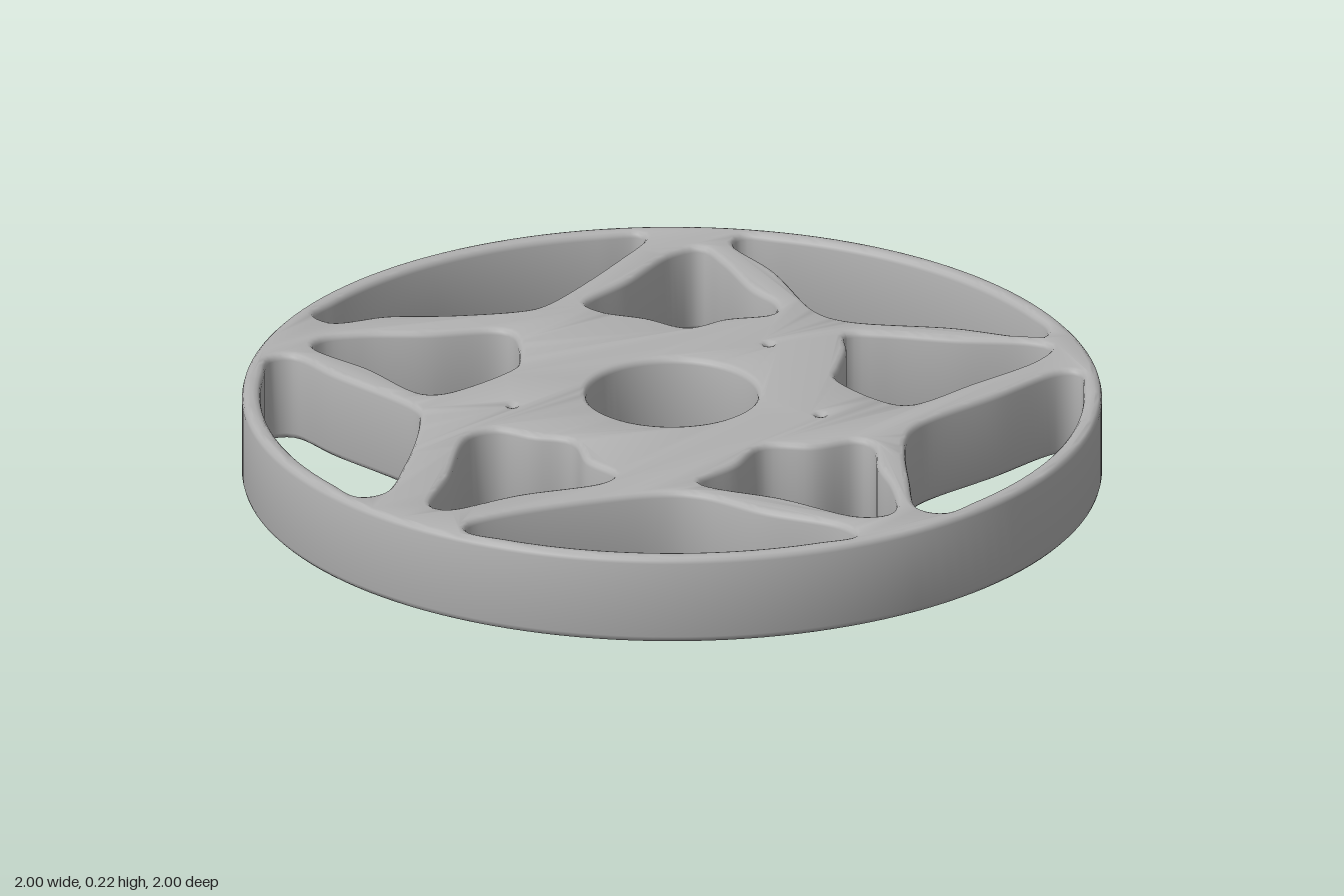
import * as THREE from 'three';
import { toCreasedNormals } from 'three/addons/utils/BufferGeometryUtils.js';

const HEIGHT = 0.215, BEVEL = 0.016, RIM_INNER = 0.957;

// Triangular windows inside each forked spoke, as [x, z]
const spokeWindows = [
  [[-0.36, -0.8], [-0.31, -0.82], [-0.23, -0.77], [-0.12, -0.655], [0, -0.555], [0.01, -0.515],
    [-0.11, -0.385], [-0.16, -0.37], [-0.36, -0.39], [-0.395, -0.425], [-0.37, -0.61]],
  [[0.26, -0.51], [0.43, -0.53], [0.62, -0.565], [0.685, -0.54], [0.66, -0.45], [0.585, -0.29],
    [0.56, -0.19], [0.51, -0.15], [0.41, -0.21], [0.315, -0.24], [0.29, -0.35], [0.25, -0.45]],
  [[0.535, 0.06], [0.59, 0.12], [0.685, 0.27], [0.79, 0.41], [0.8, 0.46], [0.72, 0.49],
    [0.51, 0.475], [0.325, 0.455], [0.3, 0.415], [0.325, 0.22], [0.38, 0.18], [0.47, 0.12]],
  [[-0.35, 0.41], [-0.21, 0.4], [-0.09, 0.37], [-0.01, 0.46], [0.085, 0.51], [0.085, 0.555],
    [0, 0.65], [-0.06, 0.745], [-0.15, 0.845], [-0.2, 0.86], [-0.25, 0.82], [-0.29, 0.62]],
  [[-0.875, 0.045], [-0.71, -0.05], [-0.5, -0.175], [-0.435, -0.15], [-0.41, -0.065], [-0.37, 0.02],
    [-0.435, 0.13], [-0.45, 0.23], [-0.5, 0.245], [-0.69, 0.15], [-0.87, 0.085]],
];

// Openings against the rim: an arc between two angles (degrees, from +x towards +z),
// then the inner edge back along the spokes and hub
const rimWindows = [
  { arc: [-103, -47], edge: [[0.64, -0.675], [0.51, -0.635], [0.19, -0.575], [0.14, -0.585],
    [0, -0.69], [-0.11, -0.8], [-0.225, -0.87]] },
  { arc: [-33, 23], edge: [[0.83, 0.405], [0.73, 0.215], [0.595, 0.01], [0.585, -0.07],
    [0.7, -0.32], [0.755, -0.5]] },
  { arc: [40, 96], edge: [[-0.12, 0.895], [0, 0.75], [0.165, 0.59], [0.25, 0.55],
    [0.5, 0.565], [0.71, 0.58]] },
  { arc: [111, 167], edge: [[-0.89, 0.18], [-0.48, 0.375], [-0.41, 0.46], [-0.38, 0.64],
    [-0.32, 0.83]] },
  { arc: [187, 240], edge: [[-0.435, -0.8], [-0.45, -0.66], [-0.475, -0.37], [-0.52, -0.32],
    [-0.72, -0.18], [-0.9, -0.09]] },
];

// Small holes through the hub plate, as [x, z]
const boltHoles = [[-0.31, -0.22], [0.365, -0.03], [0.135, 0.345]];

function circle(radius, count, cx = 0, cz = 0) {
  return Array.from({ length: count }, (_, i) => {
    const a = (i / count) * Math.PI * 2;
    return new THREE.Vector2(cx + radius * Math.cos(a), -cz + radius * Math.sin(a));
  });
}

// Smooth closed outline through [x, z] points
function smoothLoop(points, count) {
  const curve = new THREE.CatmullRomCurve3(
    points.map(([x, z]) => new THREE.Vector3(x, -z, 0)), true, 'centripetal');
  return curve.getSpacedPoints(count).slice(0, -1).map((p) => new THREE.Vector2(p.x, p.y));
}

function rimLoop({ arc: [from, to], edge }) {
  const steps = 10, points = [];
  for (let i = 0; i <= steps; i++) {
    const a = THREE.MathUtils.degToRad(from + ((to - from) * i) / steps);
    points.push([RIM_INNER * Math.cos(a), RIM_INNER * Math.sin(a)]);
  }
  return smoothLoop([...points, ...edge], 130);
}

export function createModel() {
  const grey = new THREE.MeshStandardMaterial({ color: 0xb0b0b0 });
  grey.name = 'cast grey';

  // Rim, forked spokes and hub are one cast plate with windows cut through it
  const plate = new THREE.Shape(circle(1, 144));
  const holes = [
    circle(0.2, 64),
    ...spokeWindows.map((w) => smoothLoop(w, 80)),
    ...rimWindows.map(rimLoop),
    ...boltHoles.map(([x, z]) => circle(0.008, 8, x, z)),
  ];
  plate.holes = holes.map((points) => new THREE.Path(points));

  const extruded = new THREE.ExtrudeGeometry(plate, {
    depth: HEIGHT - 2 * BEVEL,
    bevelEnabled: true,
    bevelThickness: BEVEL,
    bevelSize: BEVEL,
    bevelOffset: -BEVEL,
    bevelSegments: 3,
  });
  extruded.rotateX(-Math.PI / 2).translate(0, BEVEL, 0);

  const wheel = new THREE.Mesh(toCreasedNormals(extruded, 0.9), grey);
  wheel.name = 'wheel';

  const model = new THREE.Group();
  model.name = 'spokedWheel';
  model.add(wheel);
  return model;
}
